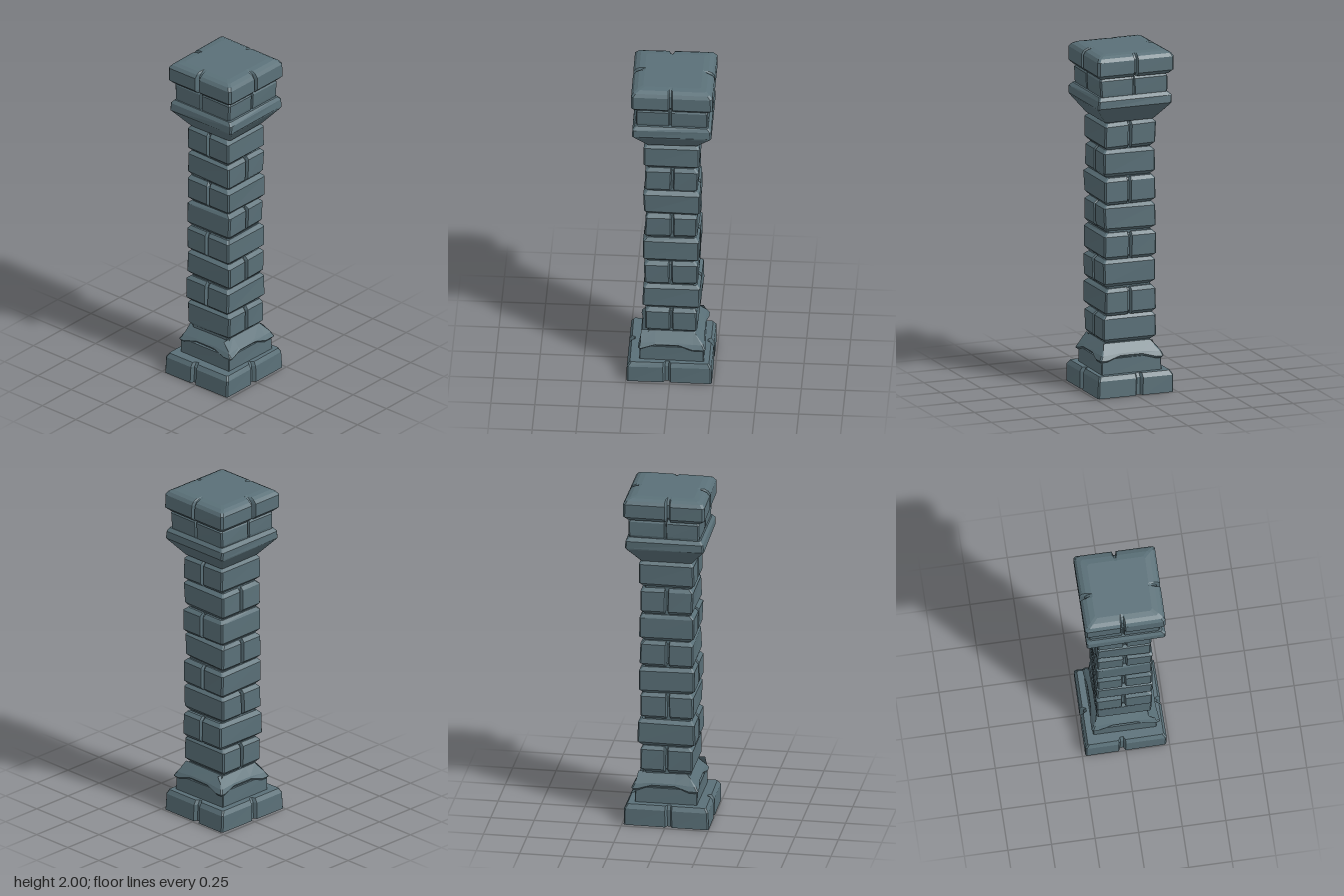
import * as THREE from 'three';

const stoneMat = new THREE.MeshStandardMaterial({ color: 0x5a7078, flatShading: true });
stoneMat.name = 'blue grey stone';

// Small seeded random, -1..1
let seed = 11;
const rand = () => {
  seed = (seed * 16807) % 2147483647;
  return (seed / 2147483647) * 2 - 1;
};

// Outline of a squared stone, counter-clockwise from above.
// Each point is [x, z, yLift]; seams are notches on front, right, back and left.
function outline([, x0, x1, z0, z1, deep = 1], seams, c) {
  const corners = [[x0, z1], [x1, z1], [x1, z0], [x0, z0]];
  const pts = [];
  corners.forEach(([ax, az], i) => {
    const [bx, bz] = corners[(i + 1) % 4];
    const len = Math.hypot(bx - ax, bz - az);
    const ux = (bx - ax) / len, uz = (bz - az) / len;
    const put = (t, d, lift = 0) => pts.push([ax + ux * t + uz * d, az + uz * t - ux * d, lift]);
    put(c, 0);
    const seam = seams[i];
    if (seam) {
      // distance along the side to the seam's x or z position
      const t = ux ? (seam.at - ax) * Math.sign(ux) : (seam.at - az) * Math.sign(uz);
      const d = seam.d * deep, lift = (seam.lift || 0) * deep;
      put(t - seam.w, 0);
      put(t - seam.w * 0.45, d, lift);
      put(t + seam.w * 0.45, d, lift);
      put(t + seam.w, 0);
    }
    put(len - c, 0);
  });
  return pts;
}

// Loft through rings [y, x0, x1, z0, z1, seamDepthFactor] and cap both ends
function stone(name, rings, { seams = [], chamfer = 0.008, wobble = 0.003, tilt = 0 } = {}) {
  const base = outline(rings[0], seams, chamfer);
  const n = base.length;
  // hand-cut unevenness, shared by both points of a corner
  const jig = [0, 1, 2, 3].map(() => [rand() * wobble, rand() * wobble, rand() * tilt]);
  const pos = [], idx = [];
  const loops = rings.map((ring) => {
    const cx = (ring[1] + ring[2]) / 2, cz = (ring[3] + ring[4]) / 2;
    const extra = [0, 1, 2, 3].map(() => [rand() * wobble, rand() * wobble]);
    return outline(ring, seams, chamfer).map(([x, z, lift]) => {
      // blend the corner offsets across the block
      const u = THREE.MathUtils.clamp((x - cx) / (ring[2] - ring[1]) + 0.5, 0, 1);
      const v = THREE.MathUtils.clamp((z - cz) / (ring[4] - ring[3]) + 0.5, 0, 1);
      const wt = [(1 - u) * (1 - v), u * (1 - v), (1 - u) * v, u * v];
      let dx = 0, dz = 0, dy = 0;
      wt.forEach((w, k) => {
        dx += w * (jig[k][0] + extra[k][0]);
        dz += w * (jig[k][1] + extra[k][1]);
        dy += w * jig[k][2];
      });
      return [x + dx, ring[0] + lift + dy, z + dz];
    });
  });
  loops.forEach((loop) => loop.forEach((p) => pos.push(...p)));
  for (let r = 0; r < loops.length - 1; r++) {
    for (let i = 0; i < n; i++) {
      const a = r * n + i, b = r * n + ((i + 1) % n);
      idx.push(a, b, b + n, a, b + n, a + n);
    }
  }
  const cap = (r, up) => {
    const flat = loops[r].map(([x, , z]) => new THREE.Vector2(x, -z));
    THREE.ShapeUtils.triangulateShape(flat, []).forEach(([a, b, c]) => {
      const o = r * n;
      if (up) idx.push(o + a, o + b, o + c);
      else idx.push(o + a, o + c, o + b);
    });
  };
  cap(0, false);
  cap(loops.length - 1, true);
  const indexed = new THREE.BufferGeometry();
  indexed.setAttribute('position', new THREE.Float32BufferAttribute(pos, 3));
  indexed.setIndex(idx);
  const geo = indexed.toNonIndexed();
  geo.computeVertexNormals();
  const mesh = new THREE.Mesh(geo, stoneMat);
  mesh.name = name;
  return mesh;
}

// Ring from full bounds, pulled in by an inset
const ring = (y, [x0, x1, z0, z1], inset = 0, deep = 1) =>
  [y, x0 + inset, x1 - inset, z0 + inset, z1 - inset, deep];

export function createModel() {
  seed = 11;
  const pillar = new THREE.Group();
  pillar.name = 'stonePillar';
  const seam = (at, w, d, lift = 0) => ({ at, w, d, lift });

  // Plinth with a seam in the middle of each side
  const plinth = [-0.245, 0.242, -0.232, 0.235];
  pillar.add(stone('plinth',
    [ring(0, plinth), ring(0.1, plinth, 0.002), ring(0.125, plinth, 0.016)],
    { seams: [seam(-0.015, 0.022, 0.02), seam(-0.02, 0.022, 0.02), seam(-0.015, 0.02, 0.02), seam(-0.02, 0.02, 0.02)] }));

  // Step above the plinth
  const step = [-0.18, 0.188, -0.178, 0.19];
  pillar.add(stone('baseStep', [ring(0.11, step), ring(0.215, step, 0.002)], { chamfer: 0.004 }));

  // Flared skirt whose lower edge arches up between the corners
  const skirt = [-0.185, 0.203, -0.188, 0.205];
  const arch = (at) => seam(at, 0.15, 0.012, 0.022);
  pillar.add(stone('baseSkirt',
    [ring(0.195, skirt, 0.012), ring(0.208, skirt), ring(0.235, skirt, 0.016, 0.3), ring(0.295, skirt, 0.062, 0)],
    { seams: [arch(-0.02), arch(0.01), arch(0.02), arch(0)], chamfer: 0.008 }));

  // Shaft core seen in the joints
  const core = [-0.128, 0.135, -0.13, 0.138];
  pillar.add(stone('shaftCore', [ring(0.25, core), ring(1.63, core)], { wobble: 0 }));

  // Eight courses, alternately split across x and across z
  const pitch = 0.1615;
  for (let i = 0; i < 8; i++) {
    const y0 = 0.3 + i * pitch, y1 = y0 + 0.157;
    const even = i % 2 === 0;
    const b = even ? [-0.146, 0.155, -0.152, 0.162] : [-0.155, 0.167, -0.152, 0.162];
    const s = () => seam(0.005 + rand() * 0.007, 0.012, 0.022);
    const seams = even ? [s(), null, s(), null] : [null, s(), null, s()];
    pillar.add(stone('shaftCourse' + (i + 1),
      [ring(y0, b, 0.019), ring(y0 + 0.02, b), ring(y1 - 0.02, b), ring(y1, b, 0.019)],
      { seams, wobble: 0.004, tilt: 0.004 }));
  }

  // Capital flare and its band
  const band = [-0.215, 0.232, -0.222, 0.235];
  pillar.add(stone('capitalFlare',
    [ring(1.592, band, 0.078), ring(1.685, band, 0.004), ring(1.695, band), ring(1.738, band, 0.002), ring(1.758, band, 0.018)],
    { wobble: 0.004, tilt: 0.003 }));

  // Neck block under the top slab
  const neck = [-0.195, 0.215, -0.203, 0.208];
  pillar.add(stone('capitalNeck',
    [ring(1.745, neck, 0.004), ring(1.77, neck), ring(1.85, neck), ring(1.868, neck, 0.012), ring(1.89, neck, 0.012)],
    { seams: [seam(0, 0.008, 0.012), seam(0.005, 0.008, 0.012), seam(0, 0.008, 0.012), seam(-0.005, 0.008, 0.012)], wobble: 0.004 }));

  // Top slab with a rounded upper edge
  const slab = [-0.223, 0.243, -0.232, 0.235];
  pillar.add(stone('topSlab',
    [ring(1.865, slab, 0.022), ring(1.887, slab), ring(1.965, slab), ring(1.984, slab, 0.014),
      ring(1.995, slab, 0.036, 0.8), ring(2, slab, 0.068, 0.15)],
    { seams: [seam(0.002, 0.013, 0.022), seam(0, 0.012, 0.022), seam(-0.012, 0.016, 0.028), seam(-0.012, 0.015, 0.028)], chamfer: 0.012, wobble: 0.002 }));

  return pillar;
}
